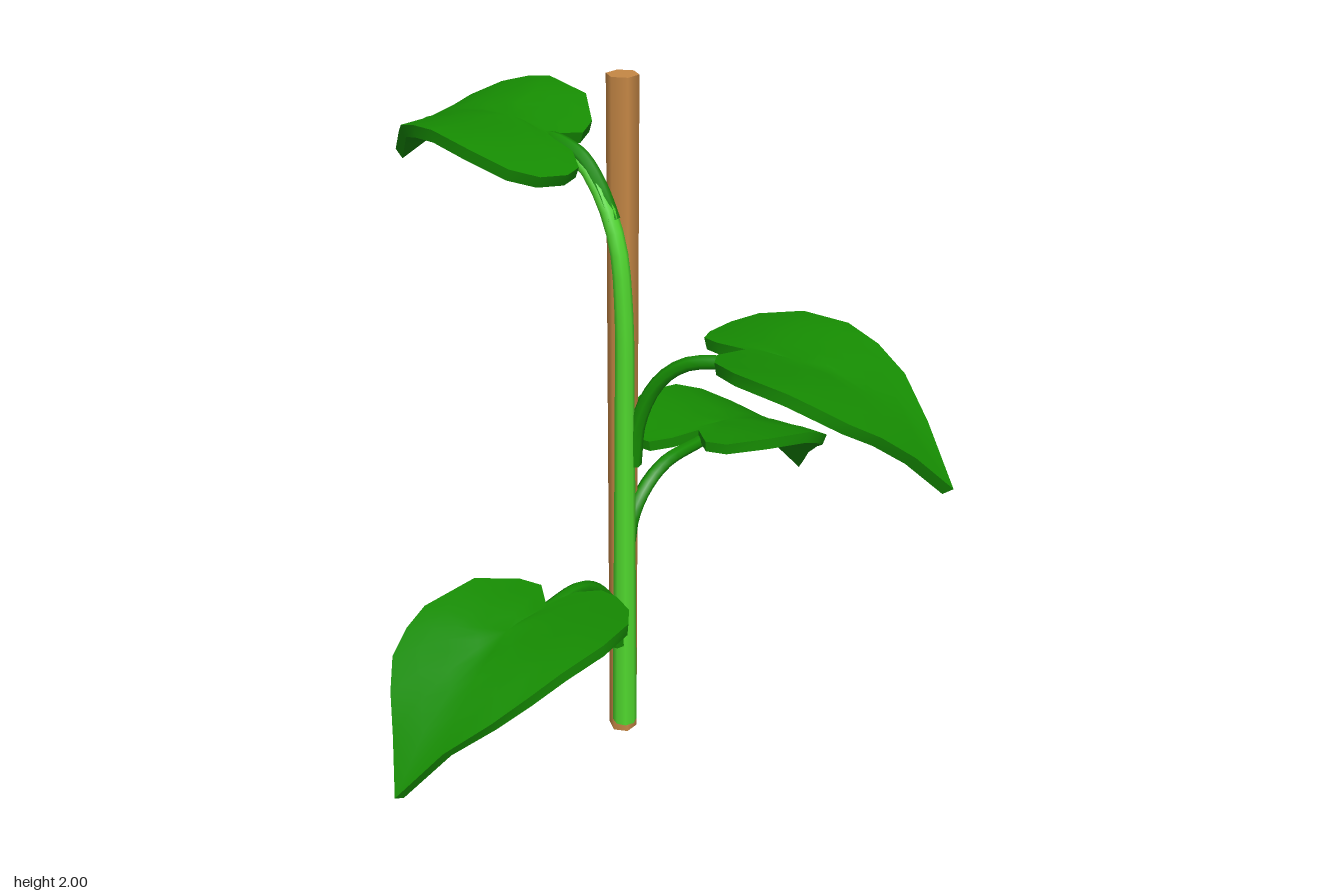
import * as THREE from 'three';
import { toCreasedNormals } from 'three/addons/utils/BufferGeometryUtils.js';

const mat = (name, color) => {
  const m = new THREE.MeshStandardMaterial({ color });
  m.name = name;
  return m;
};

// Heart outline (along, left), clockwise from the long lobe
const OUTLINE = [
  [0.27, 0.06], [0.215, 0.10], [0.21, 0.15], [0.24, 0.22], [0.30, 0.27], [0.42, 0.292], [0.55, 0.275],
  [0.64, 0.245], [0.725, 0.197], [0.81, 0.11], [0.9, 0.02], [0.83, -0.055], [0.77, -0.125],
  [0.71, -0.18], [0.64, -0.2], [0.57, -0.205], [0.42, -0.172], [0.33, -0.09], [0.31, -0.03], [0.36, 0.035],
];
// Arch of the blade (along, height)
const ARCH = [[0.2, 0.905], [0.3, 0.922], [0.42, 0.93], [0.55, 0.912], [0.68, 0.855], [0.78, 0.775], [0.84, 0.695], [0.9, 0.595]];
const NOTCH = [0.36, 0.9, -0.035];

function archHeight(s) {
  let i = 0;
  while (i < ARCH.length - 2 && s > ARCH[i + 1][0]) i++;
  const [a, ya] = ARCH[i], [b, yb] = ARCH[i + 1];
  return ya + (yb - ya) * (s - a) / (b - a);
}

// Thick heart blade: rings from the top centre, over the rim, to the underside centre
function leafGeometry() {
  const thickness = 0.033, centre = [0.5, 0.03];
  const rings = [0, 0.25, 0.5, 0.75, 1, 1, 0.75, 0.5, 0.25, 0];
  const n = OUTLINE.length, pos = [], index = [];
  rings.forEach((f, k) => {
    for (const [os, ot] of OUTLINE) {
      let s = centre[0] + (os - centre[0]) * f;
      const t = centre[1] + (ot - centre[1]) * f;
      const slope = (archHeight(s + 0.04) - archHeight(s - 0.04)) / 0.08;
      // Shallow fold along the midrib
      const fade = Math.max(0, 1 - ((s - 0.56) / 0.33) ** 2);
      let y = archHeight(s) - 0.025 * fade * Math.max(0, 1 - Math.abs(t - 0.03) / 0.2);
      if (k > 4) {
        const len = Math.hypot(1, slope);
        s += thickness * slope / len;
        y -= thickness / len;
      }
      pos.push(s - NOTCH[0], y - NOTCH[1], -t - NOTCH[2]);
    }
  });
  for (let k = 0; k < rings.length - 1; k++) {
    for (let i = 0; i < n; i++) {
      const j = (i + 1) % n;
      const a = k * n + i, b = k * n + j, c = b + n, d = a + n;
      if (k < rings.length - 2) index.push(a, c, d);
      else index.push(a, b, d);
      if (k > 0 && k < rings.length - 2) index.push(a, b, c);
    }
  }
  const g = new THREE.BufferGeometry();
  g.setAttribute('position', new THREE.Float32BufferAttribute(pos, 3));
  g.setIndex(index);
  return toCreasedNormals(g, 0.8);
}

// Tube through points, tapering from r0 to r1
function taperedTube(points, r0, r1, sides, segments) {
  const curve = new THREE.CatmullRomCurve3(points.map(p => new THREE.Vector3(...p)));
  const g = new THREE.TubeGeometry(curve, segments, 1, sides);
  const p = g.attributes.position, v = new THREE.Vector3();
  for (let i = 0; i < p.count; i++) {
    const u = Math.floor(i / (sides + 1)) / segments;
    const c = curve.getPointAt(u);
    v.fromBufferAttribute(p, i).sub(c).multiplyScalar(r0 + (r1 - r0) * u).add(c);
    p.setXYZ(i, v.x, v.y, v.z);
  }
  return g;
}

export function createModel() {
  const model = new THREE.Group();
  model.name = 'stakedPlant';
  const leafGreen = mat('leaf green', 0x168c02);
  const stemGreen = mat('stem green', 0x50d82e);
  const wood = mat('wood brown', 0xc58745);
  leafGreen.side = stemGreen.side = THREE.DoubleSide;

  const add = (name, geometry, material, parent = model) => {
    const m = new THREE.Mesh(geometry, material);
    m.name = name;
    parent.add(m);
    return m;
  };

  // Six-sided support stake with smooth sides
  const stakeGeo = new THREE.CylinderGeometry(0.042, 0.042, 2, 6).rotateY(Math.PI / 6);
  add('stake', stakeGeo, wood).position.set(0.062, 1, -0.066);

  // Main stem, bending back at the top
  add('stem', taperedTube([
    [0.008, 0.08, -0.012], [0.008, 0.6, -0.012], [0.008, 1.1, -0.012], [0.007, 1.4, -0.014],
    [0.006, 1.58, -0.034], [0.005, 1.7, -0.085], [0.004, 1.775, -0.15], [0.002, 1.805, -0.23],
  ], 0.036, 0.02, 8, 32), stemGreen);
  const cap = add('stemBase', new THREE.CircleGeometry(0.036, 8), stemGreen);
  cap.rotation.x = Math.PI / 2;
  cap.position.set(0.008, 0.08, -0.012);

  // Leaves: notch position, heading, pitch, roll, and the path of the stalk
  const blade = leafGeometry();
  const leaves = [
    { name: 'rightLeaf', at: [-0.36, 0.695, 0.035], turn: Math.PI, pitch: 0, roll: 0,
      stalk: [[-0.02, 0.37, -0.015], [-0.045, 0.5, -0.01], [-0.1, 0.59, -0.005], [-0.2, 0.66, 0.007], [-0.36, 0.672, 0.022]] },
    { name: 'leftLeaf', at: [0.36, 0.9, -0.035], turn: 0, pitch: 0, roll: 0,
      stalk: [[0.035, 0.68, -0.025], [0.055, 0.76, -0.025], [0.11, 0.83, -0.025], [0.2, 0.875, -0.026], [0.36, 0.877, -0.028]] },
    { name: 'frontLeaf', at: [0.13, 1.335, 0.29], turn: -Math.PI / 2 + 0.25, pitch: 0.12, roll: -0.03,
      stalk: [[0.03, 0.95, 0], [0.036, 1.08, 0.012], [0.055, 1.2, 0.06], [0.08, 1.275, 0.14], [0.125, 1.308, 0.285]] },
    { name: 'backLeaf', at: [0.002, 1.818, -0.255], turn: Math.PI / 2 + 0.08, pitch: 0.265, roll: -0.08,
      stalk: [[0.008, 1.64, -0.055], [0.007, 1.715, -0.092], [0.005, 1.785, -0.15], [0.002, 1.815, -0.23], [0.002, 1.815, -0.27]] },
  ];
  for (const l of leaves) {
    const group = new THREE.Group();
    group.name = l.name;
    model.add(group);
    add('stalk', taperedTube(l.stalk, 0.023, 0.018, 7, 14), leafGreen, group);
    const b = add('blade', blade, leafGreen, group);
    b.position.set(...l.at);
    b.rotation.set(l.roll, l.turn, l.pitch, 'YZX');
  }
  return model;
}
